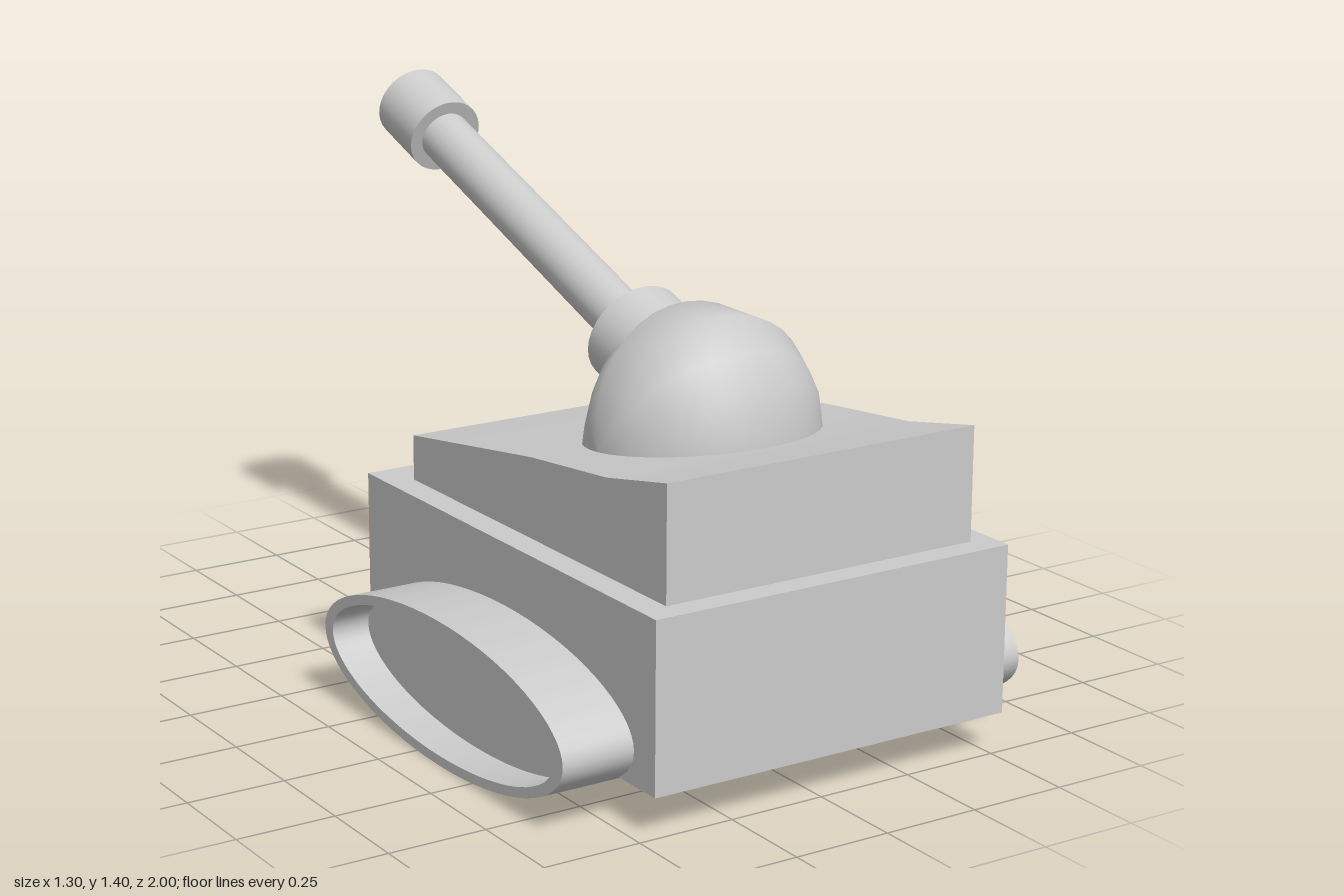
import * as THREE from 'three';
import { toCreasedNormals } from 'three/addons/utils/BufferGeometryUtils.js';

const material = new THREE.MeshStandardMaterial({ color: 0xcccccc });

function part(name, geometry, parent) {
  const mesh = new THREE.Mesh(geometry, material);
  mesh.name = name;
  parent.add(mesh);
  return mesh;
}

// Extrude a side profile drawn in (z, y) so that it spans x0..x1
function sideExtrude(shape, x0, x1) {
  const geo = new THREE.ExtrudeGeometry(shape, { depth: x1 - x0, bevelEnabled: false, curveSegments: 32 });
  geo.rotateY(-Math.PI / 2).translate(x1, 0, 0);
  return toCreasedNormals(geo, 0.6);
}

function ellipse(Kind, rz, ry) {
  return new Kind().absellipse(0.357, 0.183, rz, ry, 0, Math.PI * 2, false, 0);
}

// Dome: a faceted side section swept along x and scaled by a circle
function domeGeometry() {
  const section = [
    [0.09, 0.315], [0.17, 0.245], [0.23, 0.175], [0.262, 0.03], [0.25, -0.1], [0.15, -0.17],
    [-0.15, -0.17], [-0.25, -0.1], [-0.262, -0.03], [-0.24, 0.07], [-0.19, 0.2], [-0.16, 0.25], [-0.08, 0.315],
  ];
  const steps = 20, n = section.length, pos = [], index = [];
  for (let i = 0; i <= steps; i++) {
    const a = Math.PI * i / steps;
    for (const [z, y] of section) pos.push(-0.3 * Math.cos(a), y * Math.sin(a), z * Math.sin(a));
  }
  for (let i = 0; i < steps; i++) {
    for (let j = 0; j < n; j++) {
      const a = i * n + j, b = i * n + (j + 1) % n;
      index.push(a, b, a + n, b, b + n, a + n);
    }
  }
  const geo = new THREE.BufferGeometry();
  geo.setAttribute('position', new THREE.Float32BufferAttribute(pos, 3));
  geo.setIndex(index);
  geo.computeVertexNormals();
  return geo;
}

function turned(points) {
  const geo = new THREE.LatheGeometry(points.map(([r, y]) => new THREE.Vector2(r, y)), 32);
  return toCreasedNormals(geo, 0.6);
}

export function createModel() {
  const model = new THREE.Group();
  model.name = 'tank';

  // Hull block and sloping upper deck
  part('hull', new THREE.BoxGeometry(0.99, 0.42, 1.31), model).position.set(0.035, 0.31, 0.345);
  const deck = new THREE.Shape([
    [-0.2, 0.52], [0.935, 0.52], [0.935, 0.805], [0.69, 0.755], [0.36, 0.72], [-0.2, 0.635],
  ].map(([z, y]) => new THREE.Vector2(z, y)));
  part('upperDeck', sideExtrude(deck, -0.39, 0.47), model);

  // Oval tracks: a rim around a recessed core
  for (const side of [1, -1]) {
    const tracks = new THREE.Group();
    tracks.name = side > 0 ? 'leftTrack' : 'rightTrack';
    const span = (a, b) => (side > 0 ? [a, b] : [-b, -a]);
    const rim = ellipse(THREE.Shape, 0.557, 0.181);
    rim.holes.push(ellipse(THREE.Path, 0.518, 0.156));
    part('trackRim', sideExtrude(rim, ...span(0.417, 0.648)), tracks);
    part('trackCore', sideExtrude(ellipse(THREE.Shape, 0.518, 0.156), ...span(0.417, 0.548)), tracks);
    model.add(tracks);
  }

  // Turret dome
  part('turret', domeGeometry(), model).position.set(0.05, 0.72, 0.43);

  // Gun, raised 20 degrees towards the back
  const gun = new THREE.Group();
  gun.name = 'gun';
  gun.position.set(0.052, 0.91, 0.13);
  gun.rotation.x = -THREE.MathUtils.degToRad(70);
  part('collar', turned([[0, -0.15], [0.134, -0.15], [0.134, 0], [0, 0]]), gun);
  part('barrel', turned([[0, -0.02], [0.068, -0.02], [0.068, 1.0], [0, 1.0]]), gun);
  part('muzzle', turned([
    [0, 0.983], [0.102, 0.983], [0.102, 1.165], [0.085, 1.165], [0.085, 1.125], [0, 1.125],
  ]), gun);
  model.add(gun);

  return model;
}
